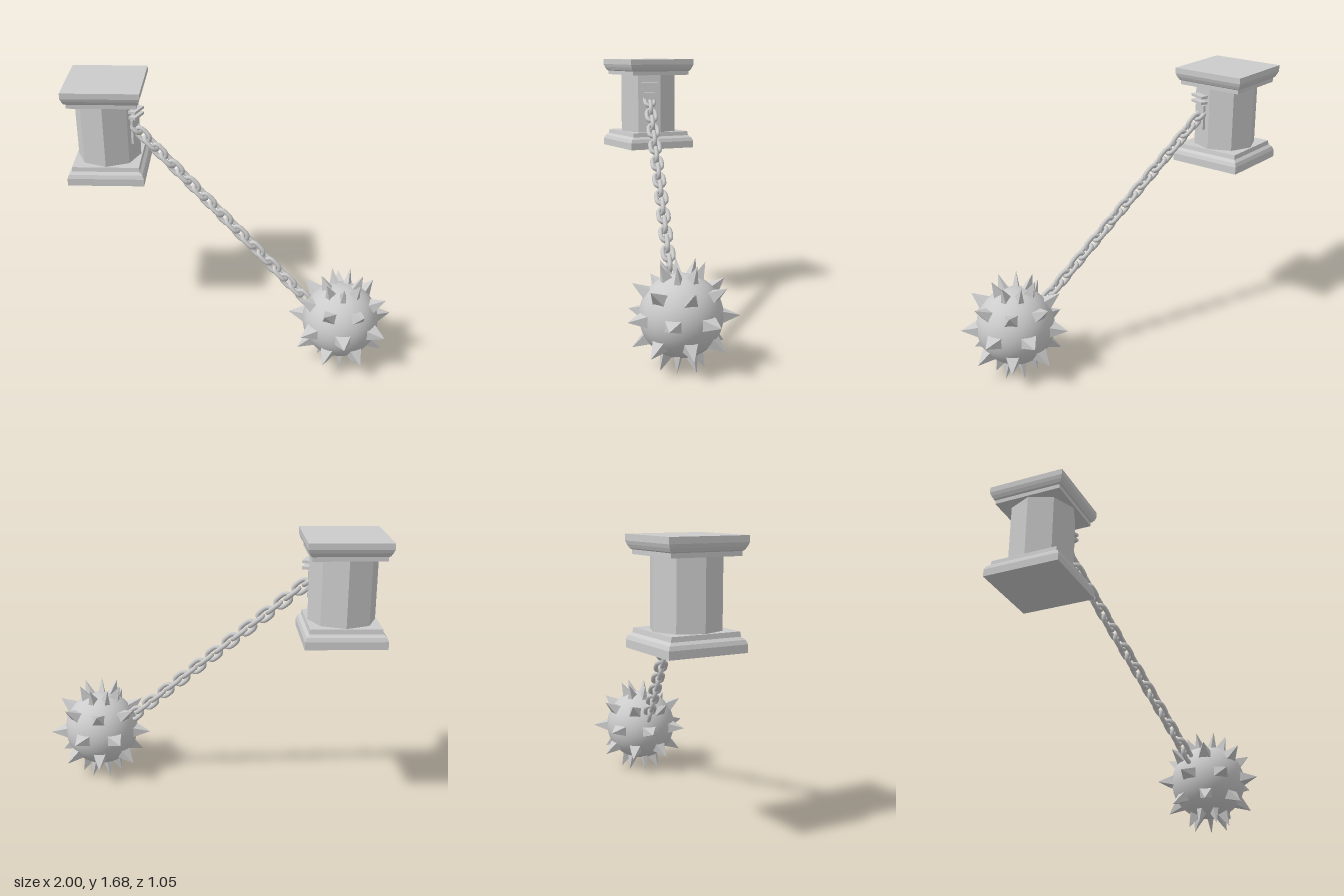
import * as THREE from 'three';

const flat = new THREE.MeshStandardMaterial({ color: 0xcccccc, flatShading: true });
const smooth = new THREE.MeshStandardMaterial({ color: 0xcccccc });
const rad = THREE.MathUtils.degToRad;

function add(parent, name, geometry, material = flat) {
  const mesh = new THREE.Mesh(geometry, material);
  mesh.name = name;
  parent.add(mesh);
  return mesh;
}

// Square moulding from [half width, y] pairs, listed bottom to top
function squareMoulding(profile) {
  const points = profile.map(([w, y]) => new THREE.Vector2(w * Math.SQRT2, y));
  return new THREE.LatheGeometry(points, 4, Math.PI / 4);
}

function makePillar() {
  const pillar = new THREE.Group();
  pillar.name = 'pillar';
  pillar.position.set(-0.767, 0, -0.293);

  add(pillar, 'pillarBase', squareMoulding([
    [0, 1.08], [0.233, 1.08], [0.233, 1.125], [0.224, 1.148], [0.207, 1.163], [0.203, 1.19], [0, 1.19],
  ]));
  add(pillar, 'pillarCap', squareMoulding([
    [0, 1.575], [0.207, 1.575], [0.207, 1.6], [0.216, 1.606], [0.226, 1.625], [0.233, 1.645], [0.233, 1.68], [0, 1.68],
  ]));
  add(pillar, 'pillarShaft', new THREE.CylinderGeometry(0.195, 0.195, 0.42, 8)).position.y = 1.385;

  // Bracket on the octagon face that the chain hangs from
  const bracket = new THREE.Group();
  bracket.name = 'chainBracket';
  bracket.rotation.y = rad(67.5);
  pillar.add(bracket);
  add(bracket, 'bracketPlate', new THREE.BoxGeometry(0.072, 0.155, 0.04)).position.set(0, 1.383, 0.176);
  for (const y of [1.517, 1.481]) {
    add(bracket, 'bracketBar', new THREE.BoxGeometry(0.11, 0.016, 0.058)).position.set(0, y, 0.198);
  }
  return pillar;
}

function makeChain() {
  const chain = new THREE.Group();
  chain.name = 'chain';

  // One oval link lying in its own xy plane, long axis along x
  const points = [];
  for (let i = 0; i < 12; i++) {
    const a = rad(15 + i * 30);
    points.push(new THREE.Vector3(Math.cos(a) * 0.0285 + Math.sign(Math.cos(a)) * 0.0225, Math.sin(a) * 0.0285, 0));
  }
  const path = new THREE.CatmullRomCurve3(points, true);
  const link = new THREE.TubeGeometry(path, 28, 0.014, 8, true);

  // Frame with x along the chain and z level
  const start = new THREE.Vector3(-0.594, 1.405, -0.222);
  const end = new THREE.Vector3(0.456, 0.423, 0.145);
  const along = end.clone().sub(start).normalize();
  const side = along.clone().cross(new THREE.Vector3(0, 1, 0)).normalize();
  const up = side.clone().cross(along);
  const frame = new THREE.Matrix4().makeBasis(along, up, side);

  const count = 22;
  for (let i = 0; i < count; i++) {
    const mesh = add(chain, 'chainLink', link, smooth);
    mesh.quaternion.setFromRotationMatrix(frame);
    if (i % 2 === 0) mesh.rotateX(Math.PI / 2);
    mesh.position.lerpVectors(start, end, i / (count - 1));
  }
  return chain;
}

function makeSpikedBall() {
  const ball = new THREE.Group();
  ball.name = 'spikedBall';
  ball.position.set(0.683, 0.302, 0.202);
  add(ball, 'ballCore', new THREE.SphereGeometry(0.233, 42, 33), smooth);

  // Five rings of seven pyramids, alternate rings turned half a step
  [-66.5, -34, 0, 34, 66.5].forEach((lat, row) => {
    const inner = 0.21, tip = 0.326;
    const spike = new THREE.ConeGeometry(Math.SQRT1_2, tip - inner, 4)
      .rotateY(Math.PI / 4)
      .rotateX(Math.PI / 2)
      .scale(0.106 * Math.cos(rad(lat)), 0.074, 1)
      .translate(0, 0, (tip + inner) / 2);
    for (let i = 0; i < 7; i++) {
      const mesh = add(ball, 'spike', spike);
      mesh.rotation.order = 'YXZ';
      mesh.rotation.set(-rad(lat), ((i + (row % 2) / 2) * Math.PI * 2) / 7, 0);
    }
  });
  return ball;
}

export function createModel() {
  const model = new THREE.Group();
  model.name = 'chainedSpikedBall';
  model.add(makePillar(), makeChain(), makeSpikedBall());
  return model;
}
